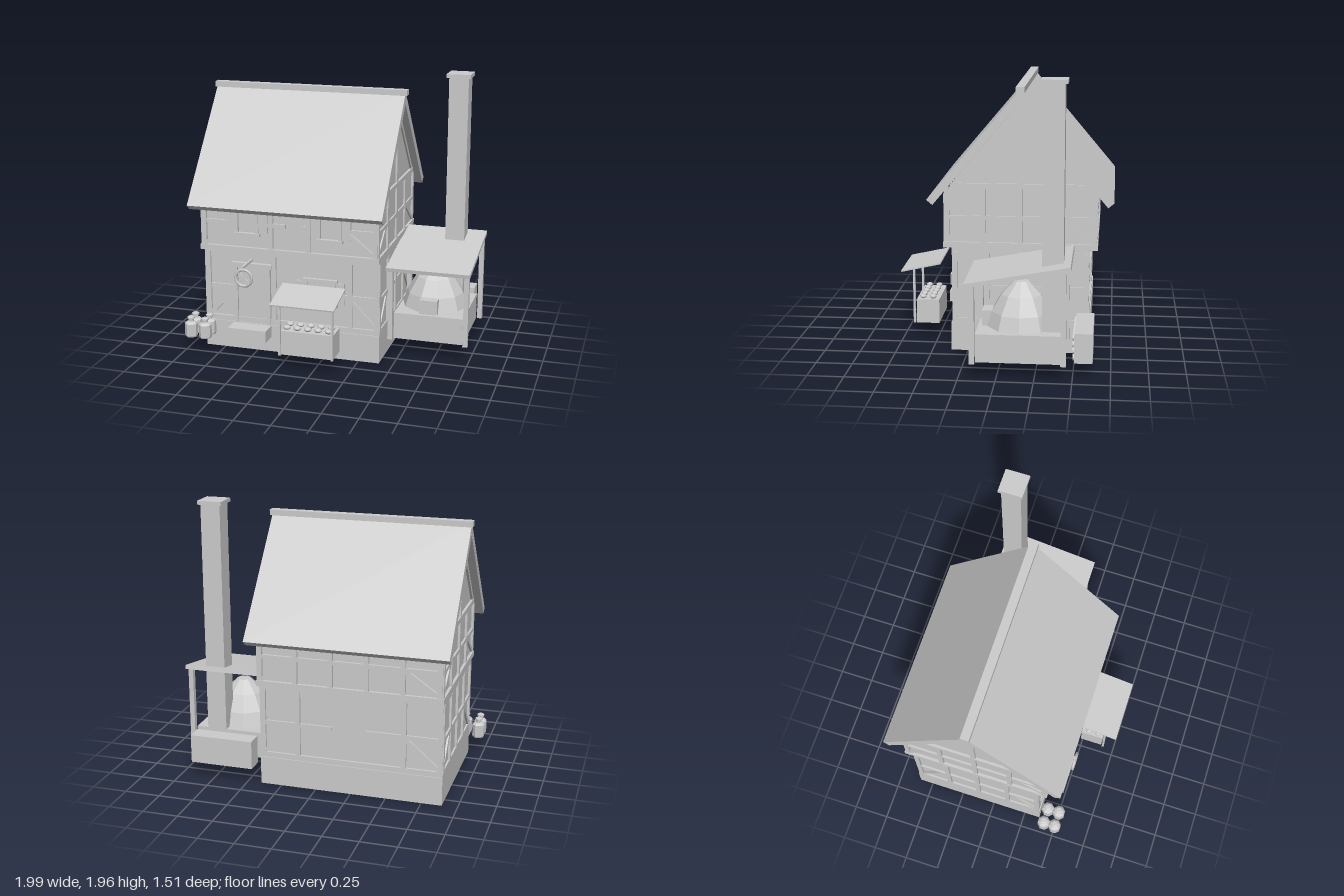
import * as THREE from 'three';

const grey = new THREE.MeshStandardMaterial({ color: 0xcccccc });
const CX = -0.245, CZ = -0.115; // house centre

function add(parent, name, geo, x = 0, y = 0, z = 0) {
  const m = new THREE.Mesh(geo, grey);
  m.name = name;
  m.position.set(x, y, z);
  parent.add(m);
  return m;
}
// box given by its limits
function box(parent, name, x0, x1, y0, y1, z0, z1) {
  return add(parent, name, new THREE.BoxGeometry(x1 - x0, y1 - y0, z1 - z0),
    (x0 + x1) / 2, (y0 + y1) / 2, (z0 + z1) / 2);
}
// timber between two points of a wall plane; local z points outwards
function beam(parent, name, x0, y0, x1, y1, w = 0.034, d = 0.03) {
  const m = add(parent, name, new THREE.BoxGeometry(Math.hypot(x1 - x0, y1 - y0), w, d),
    (x0 + x1) / 2, (y0 + y1) / 2, 0);
  m.rotation.z = Math.atan2(y1 - y0, x1 - x0);
  return m;
}
// profile in the z-y plane, extruded along x
function prism(parent, name, pts, x0, x1) {
  const shape = new THREE.Shape(pts.map(p => new THREE.Vector2(...p)));
  const geo = new THREE.ExtrudeGeometry(shape, { depth: x1 - x0, bevelEnabled: false });
  return add(parent, name, geo.rotateY(Math.PI / 2), x0, 0, CZ);
}
function facetedLathe(pts, sides) {
  const geo = new THREE.LatheGeometry(pts.map(p => new THREE.Vector2(...p)), sides).toNonIndexed();
  geo.computeVertexNormals();
  return geo;
}
function wall(parent, name, x, z, turn) {
  const g = new THREE.Group();
  g.name = name;
  g.position.set(x, 0, z);
  g.rotation.y = turn;
  parent.add(g);
  return g;
}
// posts, rails and corner braces of one storey
function framing(g, half, y0, y1, rail, posts, rails, bay) {
  for (const x of posts) beam(g, 'post', x, y0, x, y1);
  for (const [a, b] of rails) beam(g, 'rail', a, rail, b, rail, 0.028, 0.026);
  for (const s of [-1, 1])
    beam(g, 'brace', s * (half - 0.02), y0 + 0.02, s * (half - bay), rail - 0.01, 0.028, 0.024);
}
function windowUnit(g, x, y0, y1, w, shutter) {
  const win = new THREE.Group();
  win.name = 'window';
  g.add(win);
  box(win, 'pane', x - w, x + w, y0, y1, -0.012, 0);
  for (const s of [-1, 1]) {
    box(win, 'jamb', x + s * w - 0.009, x + s * w + 0.009, y0, y1, -0.012, 0.02);
    const a = x + s * (w + 0.009), b = x + s * shutter;
    box(win, 'shutter', Math.min(a, b), Math.max(a, b), y0 + 0.015, y1 - 0.015, -0.012, 0.012);
  }
  box(win, 'head', x - w - 0.02, x + w + 0.02, y1 - 0.014, y1 + 0.008, -0.012, 0.024);
  box(win, 'sill', x - w - 0.02, x + w + 0.02, y0 - 0.01, y0 + 0.01, -0.012, 0.03);
}

function buildHouse(root) {
  const h = new THREE.Group();
  h.name = 'house';
  root.add(h);
  box(h, 'foundation', -0.893, 0.4, 0, 0.2, -0.597, 0.367);
  box(h, 'groundFloorWall', -0.88, 0.39, 0.2, 0.75, -0.573, 0.343);
  prism(h, 'upperWall', [[-0.51, 0.74], [0.51, 0.74], [0.51, 1.138], [0, 1.75], [-0.51, 1.138]], -0.88, 0.39);
  prism(h, 'roof', [[-0.64, 1.085], [-0.598, 1.05], [0, 1.76], [0.598, 1.05], [0.64, 1.085], [0, 1.845]], -0.949, 0.452);
  box(h, 'ridgeCap', -0.96, 0.466, 1.822, 1.862, -0.147, -0.087);
  // ring beams
  box(h, 'sillBeam', -0.893, 0.4, 0.2, 0.238, -0.59, 0.36);
  box(h, 'topPlate', -0.893, 0.4, 0.708, 0.745, -0.59, 0.36);
  box(h, 'jettyBeam', -0.9, 0.406, 0.742, 0.782, -0.648, 0.418);

  // front framing
  const f0 = wall(h, 'groundFront', CX, 0.345, 0);
  framing(f0, 0.63, 0.23, 0.715, 0.46, [-0.625, -0.13, 0.43, 0.625],
    [[-0.62, -0.41], [-0.13, -0.03], [0.38, 0.62]], 0.21);
  windowUnit(f0, 0.214, 0.385, 0.57, 0.105, 0.175);
  const f1 = wall(h, 'upperFront', CX, 0.4, 0);
  framing(f1, 0.63, 0.775, 1.12, 0.955, [-0.625, -0.13, 0.145, 0.625],
    [[-0.62, -0.4], [-0.21, -0.02], [0.1, 0.21], [0.38, 0.62]], 0.21);
  for (const x of [-0.303, 0.3]) windowUnit(f1, x, 0.88, 1.055, 0.075, 0.15);

  // back framing
  const b0 = wall(h, 'groundBack', CX, -0.575, Math.PI);
  framing(b0, 0.63, 0.23, 0.715, 0.46, [-0.625, -0.375, 0.375, 0.625],
    [[-0.62, -0.13], [0.11, 0.62]], 0.25);
  const b1 = wall(h, 'upperBack', CX, -0.63, Math.PI);
  framing(b1, 0.63, 0.775, 1.12, 0.955, [-0.625, -0.375, -0.125, 0.125, 0.375, 0.625],
    [[-0.62, 0.62]], 0.24);

  // side framing and gables
  for (const s of [-1, 1]) {
    const x = s > 0 ? 0.388 : -0.881;
    const g = wall(h, 'sideFraming', x, CZ, s * Math.PI / 2);
    framing(g, 0.46, 0.23, 0.715, 0.46, [-0.455, -0.228, 0, 0.228, 0.455], [[-0.45, 0.45]], 0.2);
    framing(g, 0.52, 0.775, 1.165, 0.955, [-0.507, -0.254, 0, 0.254, 0.507], [[-0.5, 0.5]], 0.22);
    beam(g, 'gableTie', -0.475, 1.178, 0.475, 1.178, 0.036, 0.034);
    beam(g, 'kingPost', 0, 1.19, 0, 1.73, 0.036);
    for (const t of [-1, 1]) beam(g, 'rafter', t * 0.475, 1.168, 0, 1.732, 0.03, 0.028);
  }

  // door and step
  box(h, 'door', -0.65, -0.42, 0.2, 0.62, 0.34, 0.352);
  for (const x of [-0.66, -0.415]) box(h, 'doorPost', x - 0.014, x + 0.014, 0.2, 0.62, 0.34, 0.368);
  box(h, 'doorLintel', -0.69, -0.385, 0.617, 0.65, 0.34, 0.374);
  box(h, 'doorStep', -0.68, -0.396, 0.11, 0.195, 0.36, 0.49);
}

function buildSign(root) {
  const s = new THREE.Group();
  s.name = 'hangingSign';
  s.position.set(-0.54, 0.592, 0.52);
  root.add(s);
  box(s, 'bracket', -0.008, 0.008, 0.072, 0.088, -0.17, 0.012);
  box(s, 'hanger', -0.005, 0.005, 0.05, 0.075, -0.005, 0.005);
  add(s, 'ring', new THREE.TorusGeometry(0.06, 0.011, 6, 16));
  for (const a of [-1, 1])
    add(s, 'crossBar', new THREE.BoxGeometry(0.115, 0.016, 0.016)).rotation.z = a * Math.PI / 4;
}

function buildStall(root) {
  const s = new THREE.Group();
  s.name = 'marketStall';
  root.add(s);
  box(s, 'counter', -0.225, 0.15, 0.11, 0.285, 0.49, 0.654);
  for (const x of [-0.228, 0.148]) box(s, 'stallPost', x - 0.008, x + 0.008, 0.11, 0.52, 0.661, 0.677);
  const c = add(s, 'canopy', new THREE.BoxGeometry(0.454, 0.01, 0.29), -0.04, 0.533, 0.615);
  c.rotation.x = 0.218;
  for (let i = 0; i < 5; i++) for (const z of [0.54, 0.612]) {
    const loaf = add(s, 'loaf', new THREE.SphereGeometry(0.028, 8, 6), -0.193 + i * 0.075, 0.298, z);
    loaf.scale.set(1, 0.6, 0.85);
  }
}

function buildOven(root) {
  const o = new THREE.Group();
  o.name = 'ovenYard';
  root.add(o);
  box(o, 'ovenBase', 0.449, 0.946, 0.11, 0.302, -0.427, 0.137);
  const dome = facetedLathe([[0.238, 0], [0.205, 0.1], [0.138, 0.215], [0.05, 0.302], [0, 0.305]], 10);
  add(o, 'ovenDome', dome.rotateY(Math.PI / 2), 0.688, 0.3, -0.15);
  box(o, 'ovenDoor', 0.626, 0.754, 0.3, 0.405, 0, 0.112);
  box(o, 'chimney', 0.721, 0.861, 0.302, 1.935, -0.435, -0.295);
  box(o, 'chimneyCap', 0.704, 0.876, 1.93, 1.957, -0.452, -0.28);
  // lean-to roof on four posts
  for (const x of [0.428, 0.97]) {
    box(o, 'frontPost', x - 0.017, x + 0.017, 0.11, 0.645, 0.137, 0.173);
    box(o, 'backPost', x - 0.017, x + 0.017, 0.11, 0.75, -0.46, -0.424);
  }
  const r = add(o, 'leanToRoof', new THREE.BoxGeometry(0.597, 0.028, 0.7), 0.6985, 0.703, -0.143);
  r.rotation.x = 0.182;
  // stacked firewood
  box(o, 'woodStack', 0.457, 0.912, 0.11, 0.313, -0.632, -0.51);
  for (let i = 0; i < 9; i++) for (let j = 0; j < 4; j++) {
    const log = new THREE.CylinderGeometry(0.021, 0.021, 0.03, 8).rotateX(Math.PI / 2);
    add(o, 'logEnd', log, 0.484 + i * 0.048, 0.136 + j * 0.046, -0.514);
  }
}

function buildCans(root) {
  const profile = [[0, 0], [0.042, 0], [0.046, 0.01], [0.046, 0.098], [0.034, 0.11],
    [0.02, 0.114], [0.02, 0.13], [0.027, 0.133], [0.027, 0.145], [0.018, 0.15], [0, 0.15]];
  const geo = facetedLathe(profile, 8).rotateY(Math.PI / 8);
  for (const x of [-0.955, -0.848]) for (const z of [0.42, 0.505]) add(root, 'can', geo, x, 0.11, z);
}

export function createModel() {
  const root = new THREE.Group();
  root.name = 'timberHouse';
  buildHouse(root);
  buildSign(root);
  buildStall(root);
  buildOven(root);
  buildCans(root);
  return root;
}
